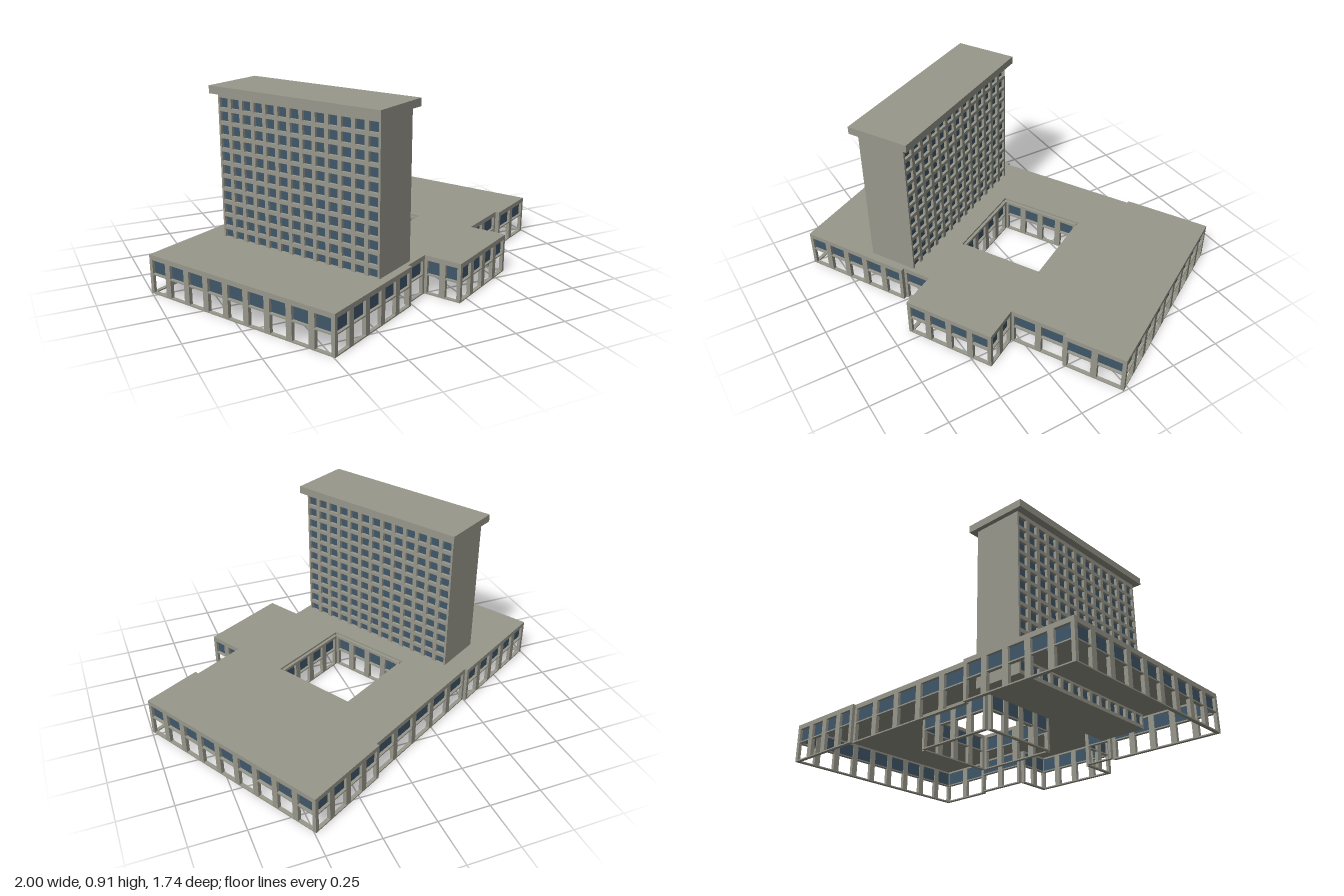
import * as THREE from 'three';

const concrete = new THREE.MeshStandardMaterial({ color: 0x99988c });
concrete.name = 'concrete';
const glass = new THREE.MeshStandardMaterial({ color: 0x40576a, side: THREE.DoubleSide });
glass.name = 'glass';

const THICK = 0.018;
const ROOF_Y = 0.172, ROOF_TOP = 0.186;

function rectPath(Type, x0, y0, x1, y1) {
  const p = new Type();
  p.moveTo(x0, y0);
  p.lineTo(x1, y0);
  p.lineTo(x1, y1);
  p.lineTo(x0, y1);
  p.closePath();
  return p;
}

// Pierced wall running from p to q (x, z), facing its own +z side.
// openings: list of [y0, y1] rows; glazed: the y range filled with glass.
function facade(name, p, q, o) {
  const dx = q[0] - p[0], dz = q[1] - p[1];
  const len = Math.hypot(dx, dz);
  const group = new THREE.Group();
  group.name = name;
  group.position.set(p[0], 0, p[1]);
  group.rotation.y = Math.atan2(-dz, dx);

  const shape = rectPath(THREE.Shape, 0, o.y0, len, o.y1);
  const pitch = (len - 2 * o.margin + o.gap) / Math.max(o.bays, 1);
  for (let i = 0; i < o.bays; i++) {
    const x = o.margin + i * pitch;
    for (const [a, b] of o.openings)
      shape.holes.push(rectPath(THREE.Path, x, a, x + pitch - o.gap, b));
  }
  const frame = new THREE.Mesh(
    new THREE.ExtrudeGeometry(shape, { depth: THICK, bevelEnabled: false }), concrete);
  frame.name = name + 'Frame';
  frame.position.z = -THICK;
  group.add(frame);

  if (o.bays > 0) {
    const [g0, g1] = o.glazed;
    const pane = new THREE.Mesh(new THREE.PlaneGeometry(len - 0.01, g1 - g0), glass);
    pane.name = name + 'Windows';
    pane.position.set(len / 2, (g0 + g1) / 2, -THICK * 0.75);
    group.add(pane);
  }
  return group;
}

function box(name, x0, x1, y0, y1, z0, z1) {
  const m = new THREE.Mesh(new THREE.BoxGeometry(x1 - x0, y1 - y0, z1 - z0), concrete);
  m.name = name;
  m.position.set((x0 + x1) / 2, (y0 + y1) / 2, (z0 + z1) / 2);
  return m;
}

// Podium outline: corner x, z and the number of bays to the next corner
const OUTLINE = [
  [-0.857, 0.512, 5], [-0.297, 0.512, 0], [-0.297, 0.492, 1], [-0.154, 0.492, 2],
  [-0.154, 0.674, 4], [0.289, 0.674, 2], [0.289, 0.492, 2], [0.562, 0.492, 0],
  [0.562, 0.512, 2], [0.857, 0.512, 9], [0.857, -0.519, 4], [0.432, -0.519, 0],
  [0.432, -0.504, 5], [-0.288, -0.504, 0], [-0.288, -0.519, 5], [-0.857, -0.519, 9],
];
const COURT = { x0: -0.134, x1: 0.27, z0: -0.211, z1: 0.191 };

function podium() {
  const group = new THREE.Group();
  group.name = 'podium';
  const style = {
    y0: 0, y1: ROOF_Y, margin: 0.014, gap: 0.03,
    openings: [[0.006, 0.092], [0.098, 0.163]], glazed: [0.095, 0.166],
  };

  // Outer walls
  OUTLINE.forEach(([x, z, bays], i) => {
    const next = OUTLINE[(i + 1) % OUTLINE.length];
    group.add(facade('outerWall', [x, z], next, { ...style, bays }));
  });

  // Courtyard walls, standing just inside the roof opening
  const { x0, x1, z0, z1 } = COURT;
  const ring = [[x0, z1], [x0, z0], [x1, z0], [x1, z1]];
  ring.forEach((p, i) => {
    const q = ring[(i + 1) % 4];
    group.add(facade('courtyardWall', p, q, { ...style, y1: 0.177, bays: 4 }));
  });

  // Roof slab with the courtyard opening
  const shape = new THREE.Shape(OUTLINE.map(([x, z]) => new THREE.Vector2(x, -z)));
  const e = 0.014;
  shape.holes.push(rectPath(THREE.Path, x0 - e, -z1 - e, x1 + e, -z0 + e));
  const geo = new THREE.ExtrudeGeometry(shape, { depth: ROOF_TOP - ROOF_Y, bevelEnabled: false });
  geo.rotateX(-Math.PI / 2);
  const roof = new THREE.Mesh(geo, concrete);
  roof.name = 'podiumRoof';
  roof.position.y = ROOF_Y;
  group.add(roof);
  return group;
}

function tower() {
  const group = new THREE.Group();
  group.name = 'tower';
  const x0 = -0.492, x1 = -0.252, z0 = -0.407, z1 = 0.473, y0 = 0.1, y1 = 0.874;

  // Solid core with blank end walls
  group.add(box('towerCore', x0 + THICK, x1 - THICK, y0, y1, z0, z1));

  // Window grids on the two long sides
  const openings = [];
  for (let i = 0; i < 12; i++) {
    const top = 0.853 - i * 0.0628;
    openings.push([top - 0.045, top]);
  }
  const style = { y0, y1, margin: 0.01, gap: 0.02, bays: 13, openings, glazed: [0.11, 0.86] };
  group.add(facade('towerLeftFace', [x1, z1], [x1, z0], style));
  group.add(facade('towerRightFace', [x0, z0], [x0, z1], style));

  // Overhanging roof slab
  group.add(box('towerRoof', -0.526, -0.219, y1, 0.91, -0.428, 0.494));
  return group;
}

export function createModel() {
  const model = new THREE.Group();
  model.name = 'officeBuilding';
  const building = new THREE.Group();
  building.name = 'building';
  building.rotation.y = 0.511;
  building.add(podium(), tower());
  model.add(building);
  return model;
}
